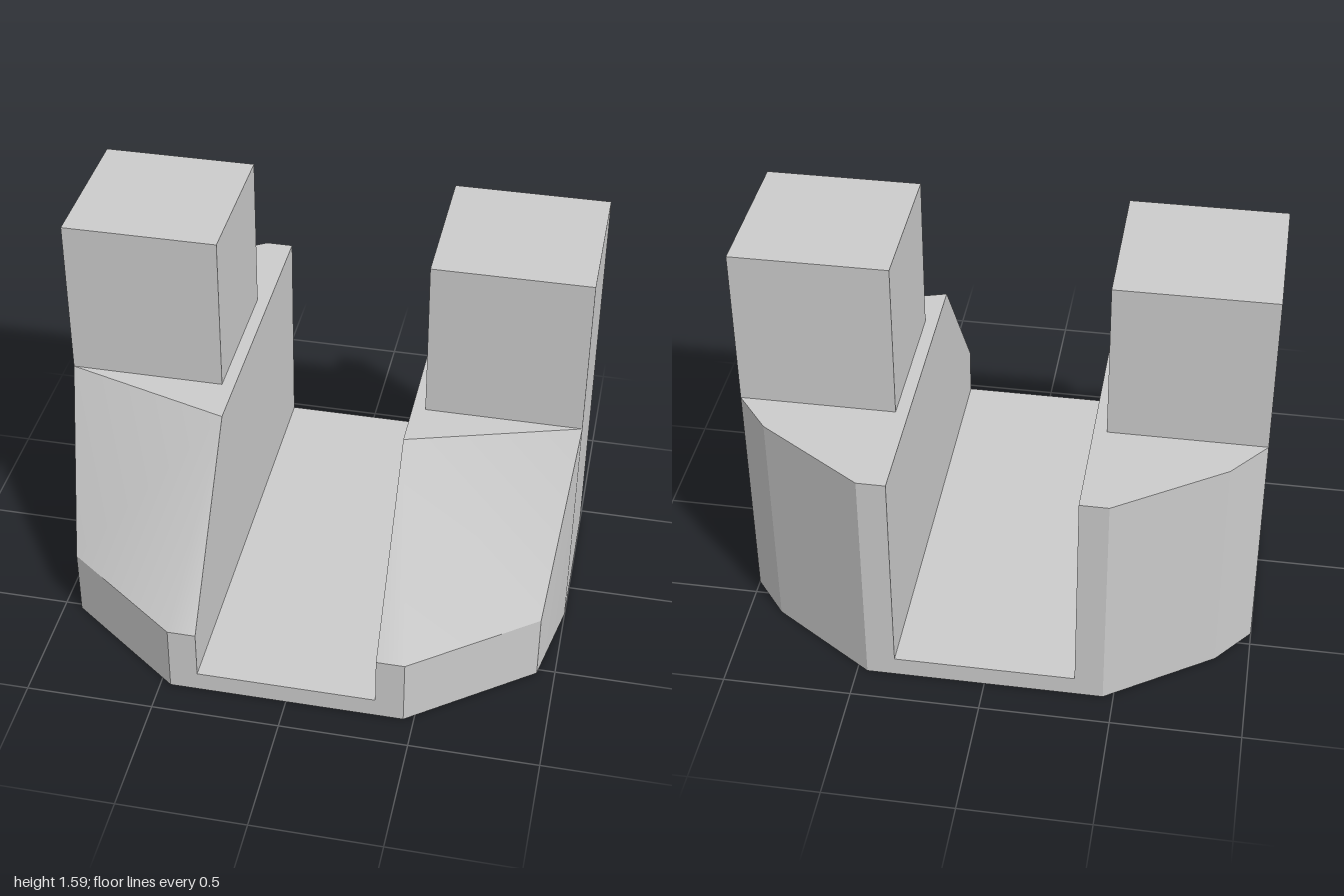
import * as THREE from 'three';
import { toCreasedNormals } from 'three/addons/utils/BufferGeometryUtils.js';

const FLOOR = 0.08, LIP = 0.28, DECK = 0.95, TOP = 1.59;
const material = new THREE.MeshStandardMaterial({ color: 0xcccccc, side: THREE.DoubleSide });

// Convex polygons (counter-clockwise from outside) to a mesh; side = -1 mirrors across x
function panelMesh(name, polygons, side = 1, crease = 0.6) {
  const positions = [];
  for (const polygon of polygons) {
    for (let i = 1; i < polygon.length - 1; i++) {
      const tri = side > 0
        ? [polygon[0], polygon[i], polygon[i + 1]]
        : [polygon[0], polygon[i + 1], polygon[i]];
      for (const [x, y, z] of tri) positions.push(x * side, y, z);
    }
  }
  const geometry = new THREE.BufferGeometry();
  geometry.setAttribute('position', new THREE.Float32BufferAttribute(positions, 3));
  const mesh = new THREE.Mesh(toCreasedNormals(geometry, crease), material);
  mesh.name = name;
  return mesh;
}

// Upright panels along a plan path of [x, z, topHeight]
function walls(path, base) {
  return path.slice(1).map((q, i) => {
    const p = path[i];
    return [[p[0], base, p[1]], [q[0], base, q[1]], [q[0], q[2], q[1]], [p[0], p[2], p[1]]];
  });
}

const level = (y, points) => points.map(([x, z]) => [x, y, z]);

function buildHalf(side) {
  const half = new THREE.Group();
  half.name = side > 0 ? 'leftHalf' : 'rightHalf';

  // Outer skirt, from the front end of the channel round to the back
  half.add(panelMesh('outerWall', walls([
    [0.35, 0.87, LIP], [0.46, 0.87, LIP], [0.93, 0.52, LIP], [1, 0.16, DECK],
    [1, -0.44, DECK], [0.87, -0.6, DECK], [0.46, -0.87, DECK], [0.35, -0.87, DECK],
  ], 0), side, 0.3));

  // Sloping front shoulder
  const a = [0.35, DECK, 0.36], c = [1, DECK, 0.16];
  const d = [0.93, LIP, 0.52], e = [0.46, LIP, 0.87], f = [0.35, LIP, 0.87];
  half.add(panelMesh('frontSlope', [[a, f, e], [a, e, d], [a, d, c]], side, 0.8));

  // Flat deck around the foot of the tower
  half.add(panelMesh('deck', [
    level(DECK, [[0.35, -0.44], [1, -0.44], [0.87, -0.6], [0.46, -0.87], [0.35, -0.87]]),
    level(DECK, [[0.35, 0.16], [0.4, 0.16], [0.4, -0.44], [0.35, -0.44]]),
    level(DECK, [[0.35, 0.16], [0.35, 0.36], [1, 0.16]]),
  ], side));

  // Inner wall of the channel
  half.add(panelMesh('channelWall', [
    [[-0.87, FLOOR], [0.87, FLOOR], [0.87, LIP], [0.36, DECK], [-0.87, DECK]]
      .map(([z, y]) => [0.35, y, z]),
  ], side));

  // Square tower, closed at the top
  const plan = [[0.4, 0.16], [1, 0.16], [1, -0.44], [0.4, -0.44]];
  const loop = [...plan, plan[0]].map(([x, z]) => [x, z, TOP]);
  half.add(panelMesh('tower', [...walls(loop, DECK), level(TOP, plan)], side));
  return half;
}

export function createModel() {
  const model = new THREE.Group();
  model.name = 'channelBlock';
  for (const side of [1, -1]) model.add(buildHalf(side));

  // Channel floor with its front and back edges; the underside is open
  model.add(panelMesh('channelFloor', [
    level(FLOOR, [[-0.35, 0.87], [0.35, 0.87], [0.35, -0.87], [-0.35, -0.87]]),
    ...walls([[-0.35, 0.87, FLOOR], [0.35, 0.87, FLOOR]], 0),
    ...walls([[0.35, -0.87, FLOOR], [-0.35, -0.87, FLOOR]], 0),
  ]));
  return model;
}
